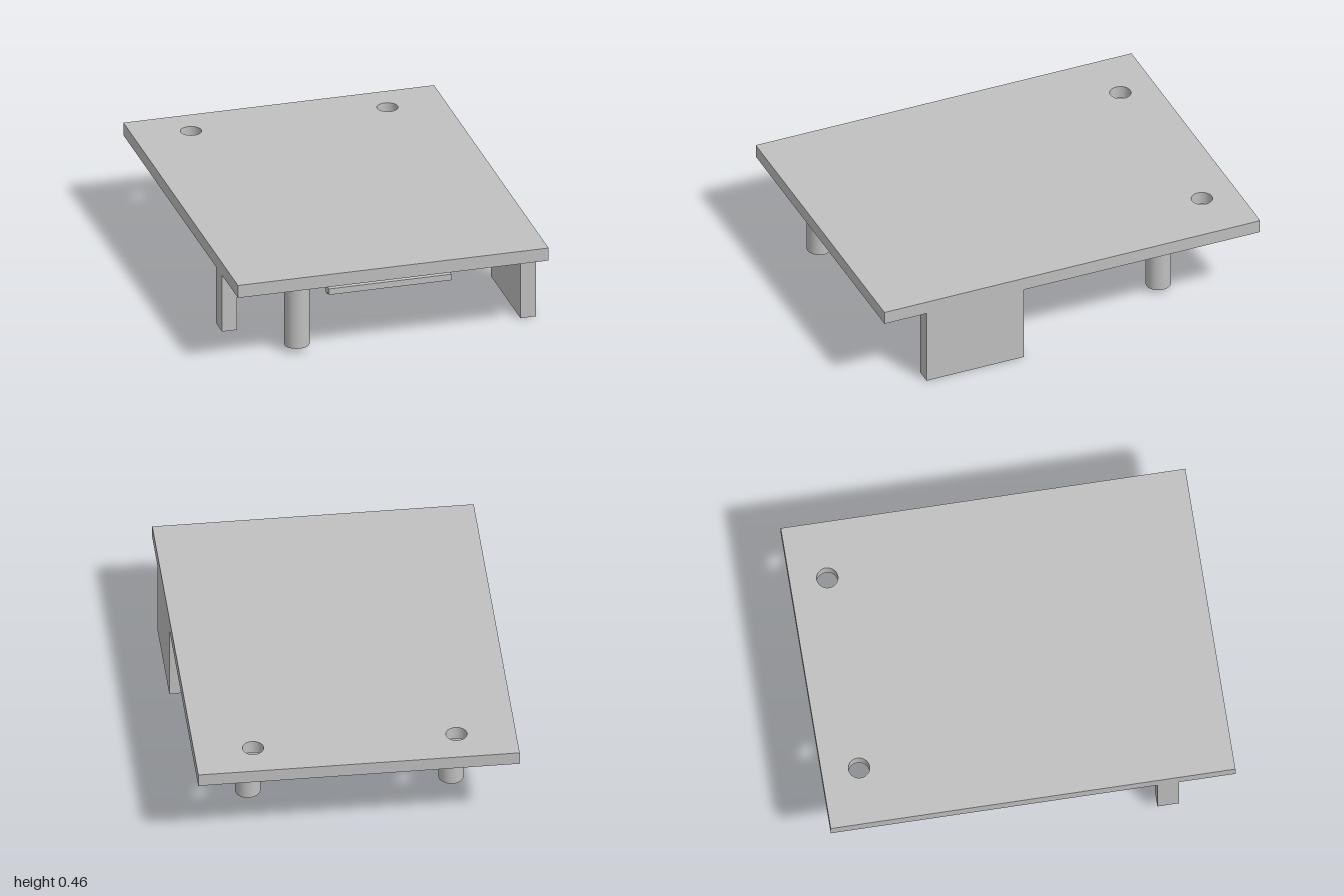
import * as THREE from 'three';

export function createModel() {
  const group = new THREE.Group();
  const grey = new THREE.MeshStandardMaterial({ color: 0xc0c0c0 });
  grey.name = 'plain grey';

  const underside = 0.397;
  const top = 0.464;

  const add = (name, geometry, x = 0, y = 0, z = 0) => {
    const mesh = new THREE.Mesh(geometry, grey);
    mesh.name = name;
    mesh.position.set(x, y, z);
    group.add(mesh);
  };

  // box given by its limits on each axis
  const addBox = (name, [x0, x1], [y0, y1], [z0, z1]) =>
    add(name, new THREE.BoxGeometry(x1 - x0, y1 - y0, z1 - z0),
      (x0 + x1) / 2, (y0 + y1) / 2, (z0 + z1) / 2);

  // cover plate with two screw holes near the back edge
  const outline = new THREE.Shape();
  outline.moveTo(-0.79, -1);
  outline.lineTo(0.79, -1);
  outline.lineTo(0.79, 1);
  outline.lineTo(-0.79, 1);
  outline.closePath();
  for (const x of [-0.5, 0.5]) {
    const hole = new THREE.Path();
    hole.absarc(x, 0.815, 0.052, 0, Math.PI * 2, true);
    outline.holes.push(hole);
  }
  const plate = new THREE.ExtrudeGeometry(outline, {
    depth: top - underside, bevelEnabled: false, curveSegments: 32,
  });
  plate.rotateX(-Math.PI / 2);
  add('coverPlate', plate, 0, underside, 0);

  // round support pegs
  const pegBottom = 0.027;
  const pegHeight = underside - pegBottom;
  const pegs = [['frontPeg', -0.438, 0.815], ['backLeftPeg', 0.5, -0.583], ['backRightPeg', -0.5, -0.583]];
  for (const [name, x, z] of pegs) {
    add(name, new THREE.CylinderGeometry(0.062, 0.062, pegHeight, 40),
      x, pegBottom + pegHeight / 2, z);
  }

  // wide side wall and the short post opposite
  addBox('sideWall', [0.712, 0.79], [0, underside], [0.258, 0.776]);
  addBox('sidePost', [-0.79, -0.713], [0.095, underside], [0.615, 0.722]);

  // front latch: hanging strip with a thin lip
  addBox('latchStrip', [-0.311, 0.311], [0.32, underside], [0.883, 0.914]);
  addBox('latchLip', [-0.311, 0.311], [0.329, 0.361], [0.914, 0.946]);

  return group;
}
